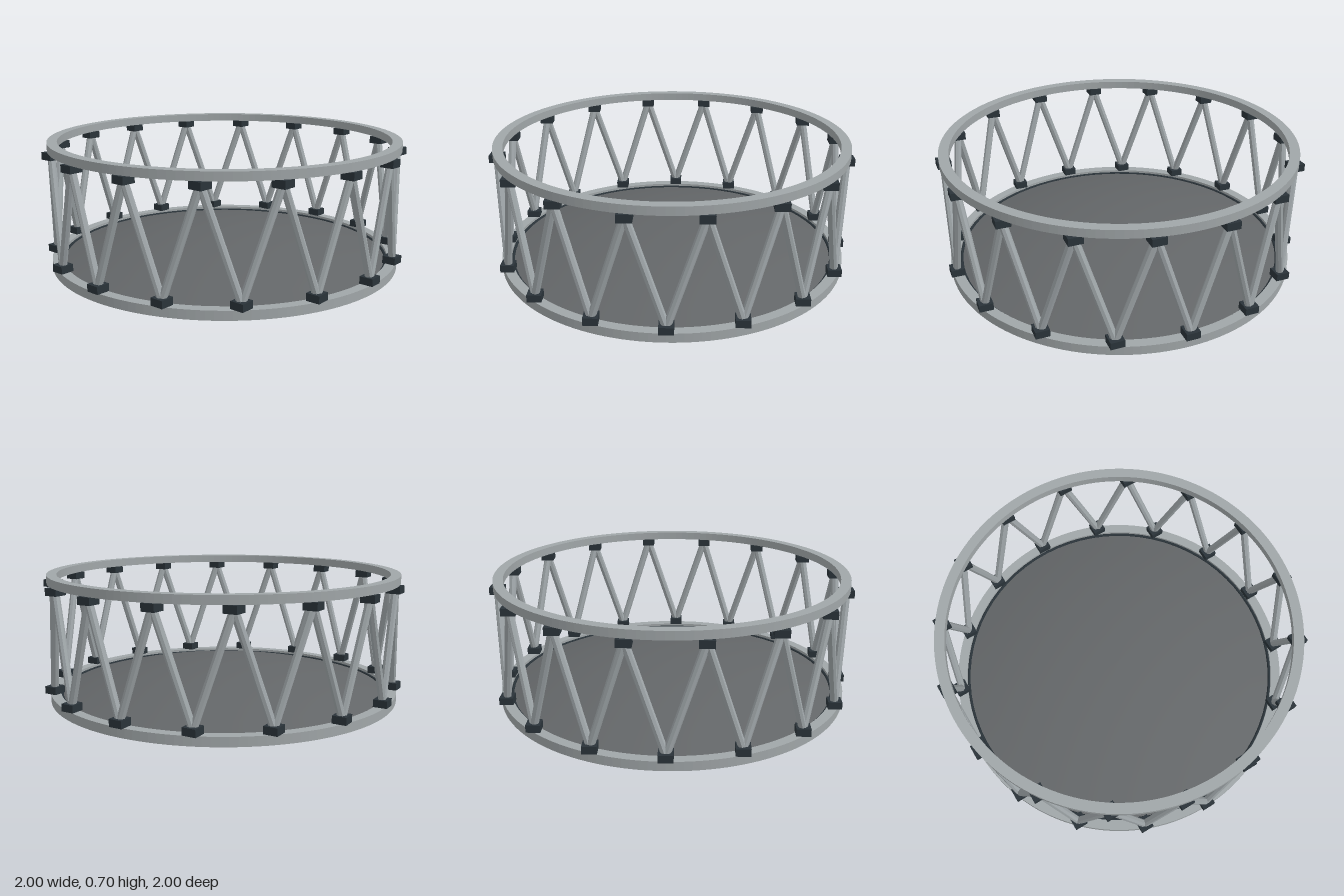
import * as THREE from 'three';

const COUNT = 16;      // clamps per rim
const RADIUS = 0.9625; // circle on which clamps and rods sit

const mat = (name, color, extra = {}) => {
  const m = new THREE.MeshStandardMaterial({ color, ...extra });
  m.name = name;
  return m;
};

// Point on the clamp circle, in half steps of the clamp spacing
const onCircle = (halfStep, y) => {
  const a = (halfStep * Math.PI) / COUNT;
  return new THREE.Vector3(Math.sin(a) * RADIUS, y, Math.cos(a) * RADIUS);
};

export function createModel() {
  const metal = mat('brushedMetal', 0xa0a6a8);
  const rodMetal = mat('rodMetal', 0xa0a7aa, { flatShading: true });
  const dark = mat('darkPlastic', 0x2a3339);
  const skin = mat('greyMembrane', 0x636668, { side: THREE.DoubleSide });
  const model = new THREE.Group();
  model.name = 'roundTruss';

  const add = (name, geometry, material, parent = model) => {
    const mesh = new THREE.Mesh(geometry, material);
    mesh.name = name;
    parent.add(mesh);
    return mesh;
  };

  // Flat-sided rims at bottom and top
  const rim = (h) => {
    const s = new THREE.Shape().absarc(0, 0, 0.985, 0, Math.PI * 2);
    s.holes.push(new THREE.Path().absarc(0, 0, 0.93, 0, Math.PI * 2, true));
    return new THREE.ExtrudeGeometry(s, { depth: h, bevelEnabled: false, curveSegments: 72 })
      .rotateX(-Math.PI / 2);
  };
  add('bottomRim', rim(0.05), metal);
  add('topRim', rim(0.045), metal).position.y = 0.66;

  // Shallow domed membrane and the dark seal around it
  const profile = [];
  for (let i = 0; i <= 8; i++) {
    const r = 0.92 * (1 - i / 8);
    profile.push(new THREE.Vector2(r, 0.163 - (r * r) / 6.3));
  }
  add('domedMembrane', new THREE.LatheGeometry(profile, 72), skin);
  const seal = new THREE.TorusGeometry(0.924, 0.009, 8, 72).rotateX(Math.PI / 2);
  add('membraneSeal', seal, dark).position.y = 0.029;

  // Square clamps, alternating between the rims
  const clamps = new THREE.Group();
  clamps.name = 'clamps';
  const box = new THREE.BoxGeometry(0.075, 0.04, 0.075);
  // Zigzag rods joining neighbouring clamps
  const rods = new THREE.Group();
  rods.name = 'rods';
  const up = new THREE.Vector3(0, 1, 0);

  for (let i = 0; i < COUNT * 2; i++) {
    const top = i % 2 === 1;
    const here = onCircle(i, top ? 0.64 : 0.07);
    const next = onCircle(i + 1, top ? 0.07 : 0.64);
    add(top ? 'topClamp' : 'bottomClamp', box, dark, clamps).position.copy(here);

    const dir = next.clone().sub(here);
    const rod = add('rod', new THREE.CylinderGeometry(0.021, 0.021, dir.length(), 8), rodMetal, rods);
    rod.position.copy(here).add(next).multiplyScalar(0.5);
    rod.quaternion.setFromUnitVectors(up, top ? dir.normalize().negate() : dir.normalize());
  }
  model.add(clamps, rods);
  return model;
}
